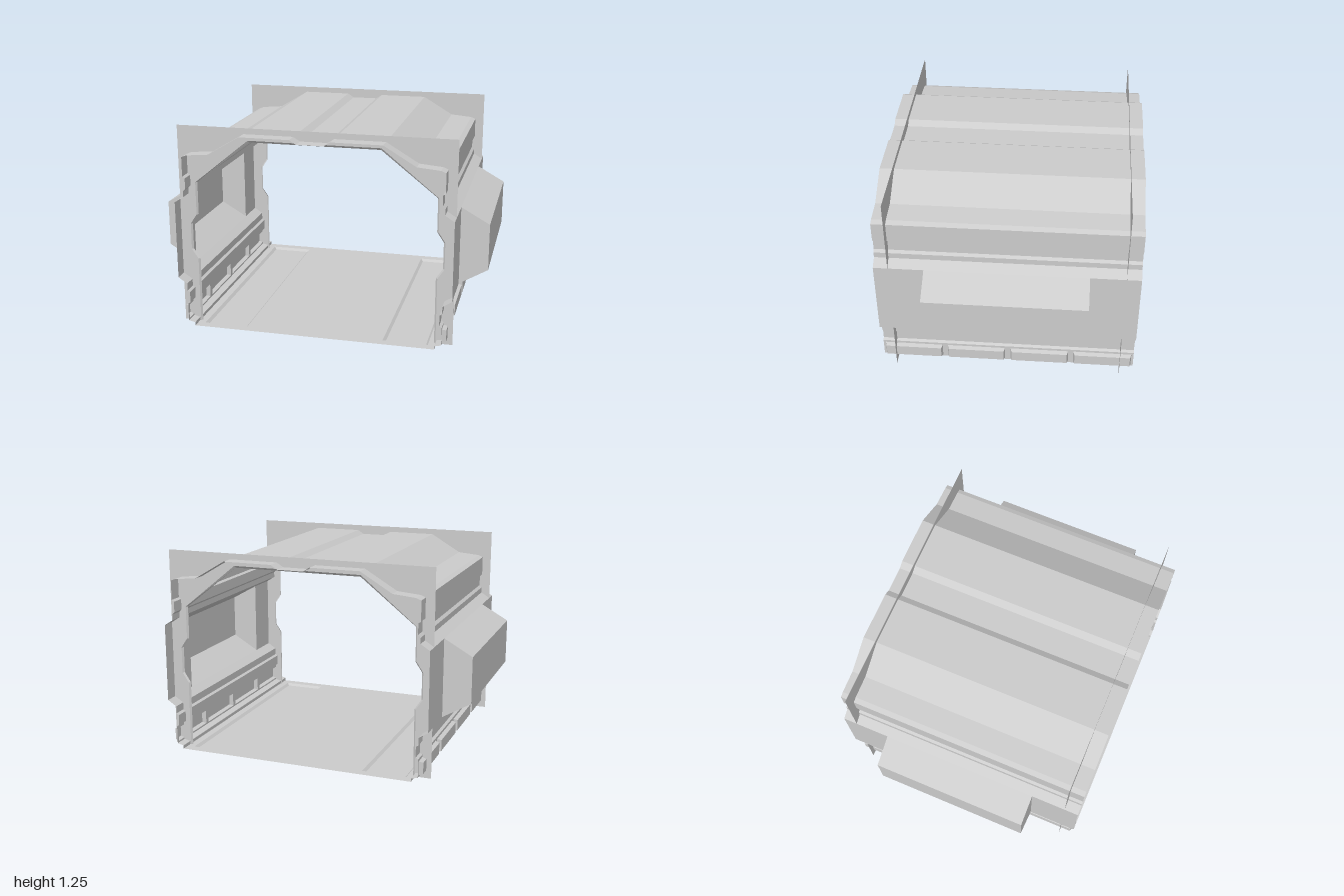
import * as THREE from 'three';

const mat = new THREE.MeshStandardMaterial({ color: 0xcccccc, flatShading: true, side: THREE.DoubleSide });
const END = 0.775, PLATE_Z = 0.69, BULGE_Z = 0.48;

function mesh(name, geometry) {
  const m = new THREE.Mesh(geometry, mat);
  m.name = name;
  return m;
}

// Flat-faced skin between successive cross-sections of [x, y, z] points
function loft(sections, closed = false) {
  const pos = [];
  for (let s = 0; s < sections.length - 1; s++) {
    const a = sections[s], b = sections[s + 1];
    const n = closed ? a.length : a.length - 1;
    for (let i = 0; i < n; i++) {
      const j = (i + 1) % a.length;
      pos.push(...a[i], ...b[i], ...b[j], ...a[i], ...b[j], ...a[j]);
    }
  }
  const g = new THREE.BufferGeometry();
  g.setAttribute('position', new THREE.Float32BufferAttribute(pos, 3));
  g.computeVertexNormals();
  return g;
}

// Sheet swept along z from an x/y profile
const sweep = (profile, z0, z1) =>
  loft([z0, z1].map(z => profile.map(([x, y]) => [x, y, z])));

const shapeOf = pts => new THREE.Shape(pts.map(p => new THREE.Vector2(...p)));
const rect = (a0, b0, a1, b1) => [[a0, b0], [a1, b0], [a1, b1], [a0, b1]];

function holedSheet(outline, holes) {
  const s = shapeOf(outline);
  holes.forEach(h => s.holes.push(new THREE.Path(h.map(p => new THREE.Vector2(...p)))));
  return new THREE.ShapeGeometry(s);
}

// Half profiles of the shell, from roof centre to floor edge
const ROOF = [[0, 1.185], [0.08, 1.185], [0.12, 1.21], [0.42, 1.21], [0.61, 1.097], [0.745, 1.085],
  [0.775, 1.073], [0.775, 0.955], [0.76, 0.945], [0.76, 0.88], [0.775, 0.865], [0.775, 0.83], [0.83, 0.795]];
const LOWER = [[0.83, 0.32], [0.775, 0.285], [0.775, 0.24], [0.76, 0.23], [0.76, 0.165], [0.775, 0.155]];
const SILL = [[0.775, 0.045], [0.735, 0.035], [0.735, 0.015]];
const BULGE = [[0.83, 0.795], [1, 0.70], [1, 0.42], [0.83, 0.32]];
// Doorway half outline, floor to ceiling
const DOOR = [[0.72, 0.015], [0.72, 0.42], [0.76, 0.48], [0.76, 0.64], [0.72, 0.70], [0.72, 0.90], [0.39, 1.16]];

function side() {
  const g = new THREE.Group();
  g.add(mesh('roofAndUpperWall', sweep(ROOF, -END, END)));
  g.add(mesh('lowerWall', sweep(LOWER, -END, END)));
  g.add(mesh('sill', sweep(SILL, -END, END)));

  // Side bulge with its end caps, and flat wall beyond it
  g.add(mesh('sideBulge', sweep(BULGE, -BULGE_Z, BULGE_Z)));
  for (const s of [-1, 1]) {
    const cap = mesh('bulgeEnd', new THREE.ShapeGeometry(shapeOf(BULGE)));
    cap.position.z = s * BULGE_Z;
    g.add(cap);
    g.add(mesh('endWall', sweep([[0.83, 0.795], [0.83, 0.32]], s * BULGE_Z, s * END)));
  }

  // Panel strip with four raised boxes, open on the inside
  const boxes = [-0.583, -0.195, 0.195, 0.583].map(z => rect(z - 0.178, 0.055, z + 0.178, 0.14));
  const strip = holedSheet(rect(-END, 0.045, END, 0.155), boxes);
  strip.rotateY(-Math.PI / 2).translate(0.775, 0, 0);
  g.add(mesh('panelStrip', strip));
  for (const b of boxes) {
    const cz = (b[0][0] + b[2][0]) / 2, cy = (b[0][1] + b[2][1]) / 2;
    const ring = (x, inset) => b.map(([z, y]) =>
      [x, y - Math.sign(y - cy) * inset, z - Math.sign(z - cz) * inset]);
    g.add(mesh('panelBox', loft([ring(0.775, 0), ring(0.8, 0.008)], true)));
    const face = new THREE.PlaneGeometry(0.34, 0.069);
    face.rotateY(Math.PI / 2).translate(0.8, cy, cz);
    g.add(mesh('panelFace', face));
  }
  return g;
}

export function createModel() {
  const root = new THREE.Group();
  root.name = 'corridorSection';

  const left = side();
  left.name = 'leftSide';
  const right = side();
  right.name = 'rightSide';
  right.scale.x = -1;
  root.add(left, right);

  // Thin end plates with a doorway and a bevelled trim around it
  const full = half => [...half, ...half.slice().reverse().map(([x, y]) => [-x, y])];
  const inner = full(DOOR);
  const outer = full(DOOR.map(([x, y], i) => i === 6 ? [x + 0.005, y + 0.012] : [x + 0.01, y]));
  const outline = [[-0.83, 0.015], [-0.83, 1.245], [0.83, 1.245], [0.83, 0.015]];
  for (const s of [-1, 1]) {
    const plate = mesh('endPlate', new THREE.ShapeGeometry(shapeOf([...outline, ...outer])));
    plate.position.z = s * PLATE_Z;
    root.add(plate);
    const at = (pts, z) => pts.map(([x, y]) => [x, y, z * s]);
    root.add(mesh('doorTrim', loft([at(outer, PLATE_Z), at(inner, PLATE_Z - 0.01)])));
  }

  // Floor with two shallow trays
  const trays = [-0.555, 0.555].map(x => rect(x - 0.135, -0.72, x + 0.135, 0.72));
  const floor = holedSheet(rect(-0.735, -END, 0.735, END), trays);
  floor.rotateX(-Math.PI / 2).translate(0, 0.015, 0);
  root.add(mesh('floor', floor));
  for (const t of trays) {
    const cx = (t[0][0] + t[2][0]) / 2;
    const ring = (y, inset) => t.map(([x, z]) =>
      [x - Math.sign(x - cx) * inset, y, z - Math.sign(z) * inset]);
    root.add(mesh('trayRim', loft([ring(0.015, 0), ring(0, 0.015)], true)));
    const base = new THREE.PlaneGeometry(0.24, 1.41);
    base.rotateX(-Math.PI / 2).translate(cx, 0, 0);
    root.add(mesh('trayBase', base));
  }
  return root;
}
